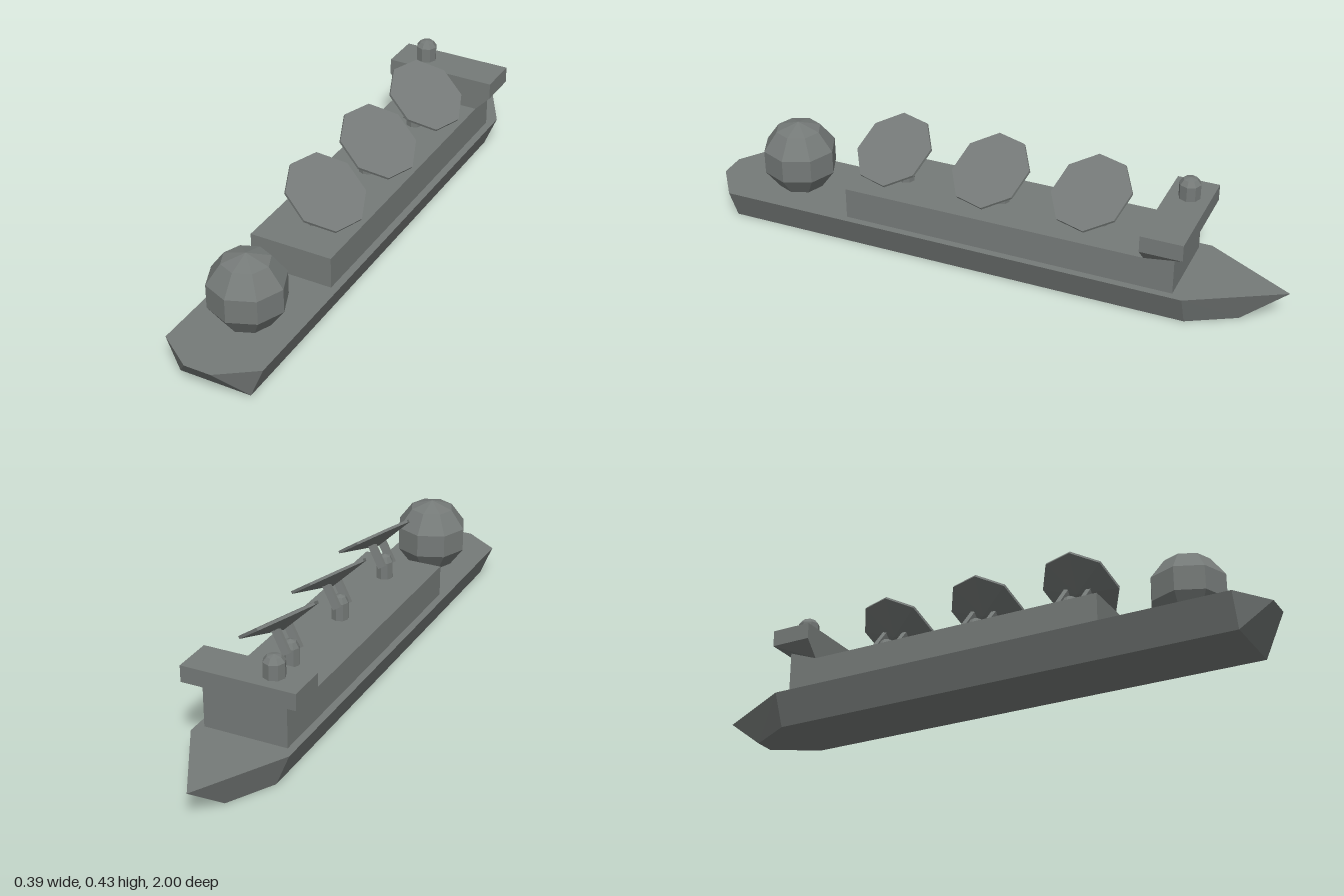
import * as THREE from 'three';
import { ConvexGeometry } from 'three/addons/geometries/ConvexGeometry.js';

const material = new THREE.MeshStandardMaterial({ color: 0x757a78, flatShading: true });

function add(parent, name, geometry, x = 0, y = 0, z = 0) {
  const mesh = new THREE.Mesh(geometry, material);
  mesh.name = name;
  mesh.position.set(x, y, z);
  parent.add(mesh);
  return mesh;
}

// Convex solid from [x, y, z] corners, mirrored across x = 0
function mirroredSolid(corners) {
  const points = [];
  for (const [x, y, z] of corners) {
    points.push(new THREE.Vector3(x, y, z));
    if (x > 0) points.push(new THREE.Vector3(-x, y, z));
  }
  return new ConvexGeometry(points);
}

// Eight-sided solid turned from [radius, height] pairs, listed bottom to top
function turned(profile) {
  return new THREE.LatheGeometry(profile.map(([r, y]) => new THREE.Vector2(r, y)), 8);
}

// Post with a rounded cap
function cappedPost(radius, height) {
  return turned([[radius, 0], [radius, height * 0.7], [radius * 0.65, height * 0.92], [0, height]]);
}

// Pedestal, two struts and a tilted octagonal dish with a shallow conical back
function createDish(z) {
  const antenna = new THREE.Group();
  antenna.name = 'dishAntenna';
  antenna.position.z = z;
  add(antenna, 'pedestal', cappedPost(0.029, 0.088), 0, 0.214, -0.018);

  const head = new THREE.Group();
  head.name = 'dishHead';
  head.position.set(0.051, 0.353, 0);
  head.rotation.set(0.21, 0, -0.576);
  antenna.add(head);
  add(head, 'dish', turned([[0, -0.04], [0.138, -0.009], [0.138, 0], [0, 0]]));
  for (const side of [-1, 1]) {
    add(head, 'strut', new THREE.BoxGeometry(0.026, 0.09, 0.016), 0, -0.067, side * 0.04);
  }
  return antenna;
}

export function createModel() {
  const ship = new THREE.Group();
  ship.name = 'ship';

  // Hull with blunt front and pointed back
  add(ship, 'hull', mirroredSolid([
    [0.045, 0.109, 1], [0.167, 0.109, 0.913], [0.167, 0.109, -0.7], [0, 0.109, -1],
    [0.122, 0, 0.913], [0.122, 0, -0.7], [0.036, 0, -0.855],
  ]));

  // Long deckhouse, rising to meet the bridge at its back end
  add(ship, 'deckhouse', new THREE.BoxGeometry(0.284, 0.108, 1.035), 0, 0.162, -0.045);
  add(ship, 'bridgeBase', new THREE.BoxGeometry(0.284, 0.165, 0.1), 0, 0.1905, -0.6125);

  // Bridge with an underside that slopes down to the front
  add(ship, 'bridge', mirroredSolid([
    [0.193, 0.326, -0.562], [0.193, 0.326, -0.702],
    [0.193, 0.27, -0.562], [0.193, 0.27, -0.702],
    [0.142, 0.216, -0.562],
  ]));
  add(ship, 'bridgeDome', cappedPost(0.036, 0.072), -0.087, 0.326, -0.633);

  // Large faceted dome on the foredeck
  add(ship, 'foredeckDome', new THREE.SphereGeometry(0.131, 8, 5), 0, 0.214, 0.72);

  for (const z of [0.335, -0.009, -0.353]) ship.add(createDish(z));
  return ship;
}
